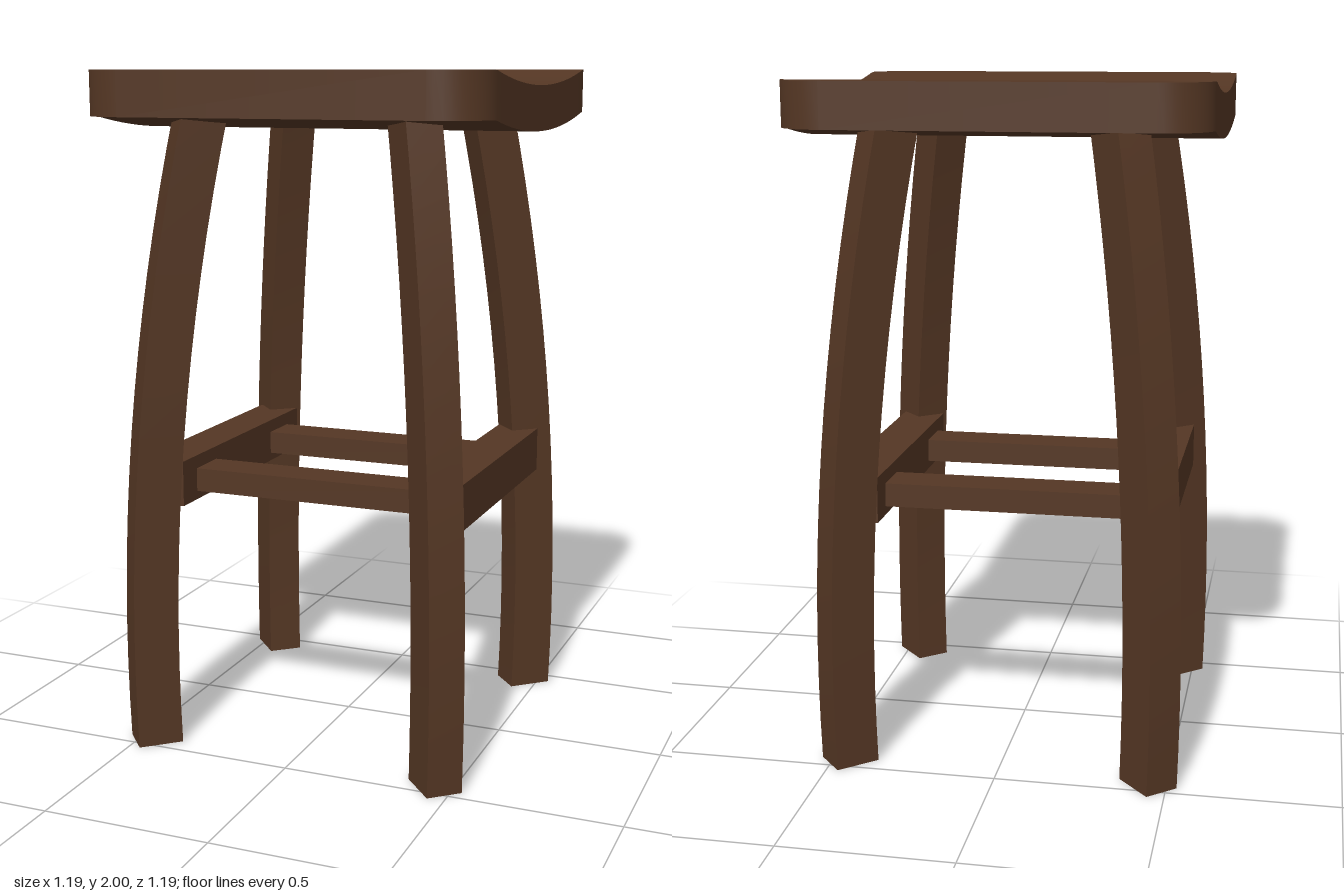
import * as THREE from 'three';
import { toCreasedNormals } from 'three/addons/utils/BufferGeometryUtils.js';

// Skin a list of equal-sized rings (counter-clockwise about the direction of travel) and cap both ends.
function loft(rings) {
  const pos = [];
  const quad = (a, b, c, d) => pos.push(...a, ...b, ...c, ...a, ...c, ...d);
  for (let i = 0; i < rings.length - 1; i++) {
    const r = rings[i], s = rings[i + 1];
    for (let j = 0; j < 4; j++) {
      const k = (j + 1) % 4;
      quad(r[j], r[k], s[k], s[j]);
    }
  }
  const [a, b, c, d] = rings[0];
  quad(d, c, b, a);
  quad(...rings[rings.length - 1]);
  const geo = new THREE.BufferGeometry();
  geo.setAttribute('position', new THREE.Float32BufferAttribute(pos, 3));
  return toCreasedNormals(geo, 0.3);
}

// Rounded-square seat, dished from front to back
function seatGeometry() {
  const half = 0.593, radius = 0.145, thickness = 0.128, dishEnd = 0.46;
  const core = half - radius;
  const slices = [];
  for (let i = 10; i >= 1; i--) {
    const a = (i / 10) * Math.PI / 2;
    slices.push([core + radius * Math.sin(a), core + radius * Math.cos(a)]);
  }
  const zw = slices.map(([z, w]) => [-z, w]);
  for (let i = 0; i <= 20; i++) zw.push([-core + 2 * core * i / 20, half]);
  zw.push(...slices.reverse());
  return loft(zw.map(([z, w]) => {
    const t = Math.min(1, Math.abs(z) / dishEnd);
    const top = 1.957 + 0.043 * t * t, bottom = top - thickness;
    return [[-w, bottom, z], [w, bottom, z], [w, top, z], [-w, top, z]];
  }));
}

// Rectangular leg set diagonally, bowing inward toward the seat
function legGeometry() {
  const section = [[0.445, 0.37], [0.365, 0.44], [0.455, 0.54], [0.535, 0.47]];
  const rings = [], steps = 16;
  for (let i = 0; i <= steps; i++) {
    const y = 1.9 * i / steps;
    const bow = 0.051 * (y - 0.3) ** 2;
    rings.push(section.map(([x, z]) => [x - bow, y, z - bow]));
  }
  return loft(rings);
}

export function createModel() {
  const group = new THREE.Group();
  const darkWood = new THREE.MeshStandardMaterial({ color: 0x553724 });
  darkWood.name = 'darkWood';
  const add = (name, geo) => {
    const mesh = new THREE.Mesh(geo, darkWood);
    mesh.name = name;
    group.add(mesh);
    return mesh;
  };

  add('seat', seatGeometry());

  // Four legs, each a quarter turn from the last
  const leg = legGeometry();
  ['frontLeftLeg', 'frontRightLeg', 'backRightLeg', 'backLeftLeg'].forEach((name, i) => {
    add(name, leg).rotation.y = -i * Math.PI / 2;
  });

  // Deep side rails and the slimmer cross rails joining them
  const sideRail = new THREE.BoxGeometry(0.132, 0.135, 0.835);
  const crossRail = new THREE.BoxGeometry(0.74, 0.07, 0.13);
  for (const s of [1, -1]) {
    add(s > 0 ? 'leftSideRail' : 'rightSideRail', sideRail).position.set(s * 0.424, 0.802, 0);
    add(s > 0 ? 'frontCrossRail' : 'backCrossRail', crossRail).position.set(0, 0.795, s * 0.265);
  }
  return group;
}
